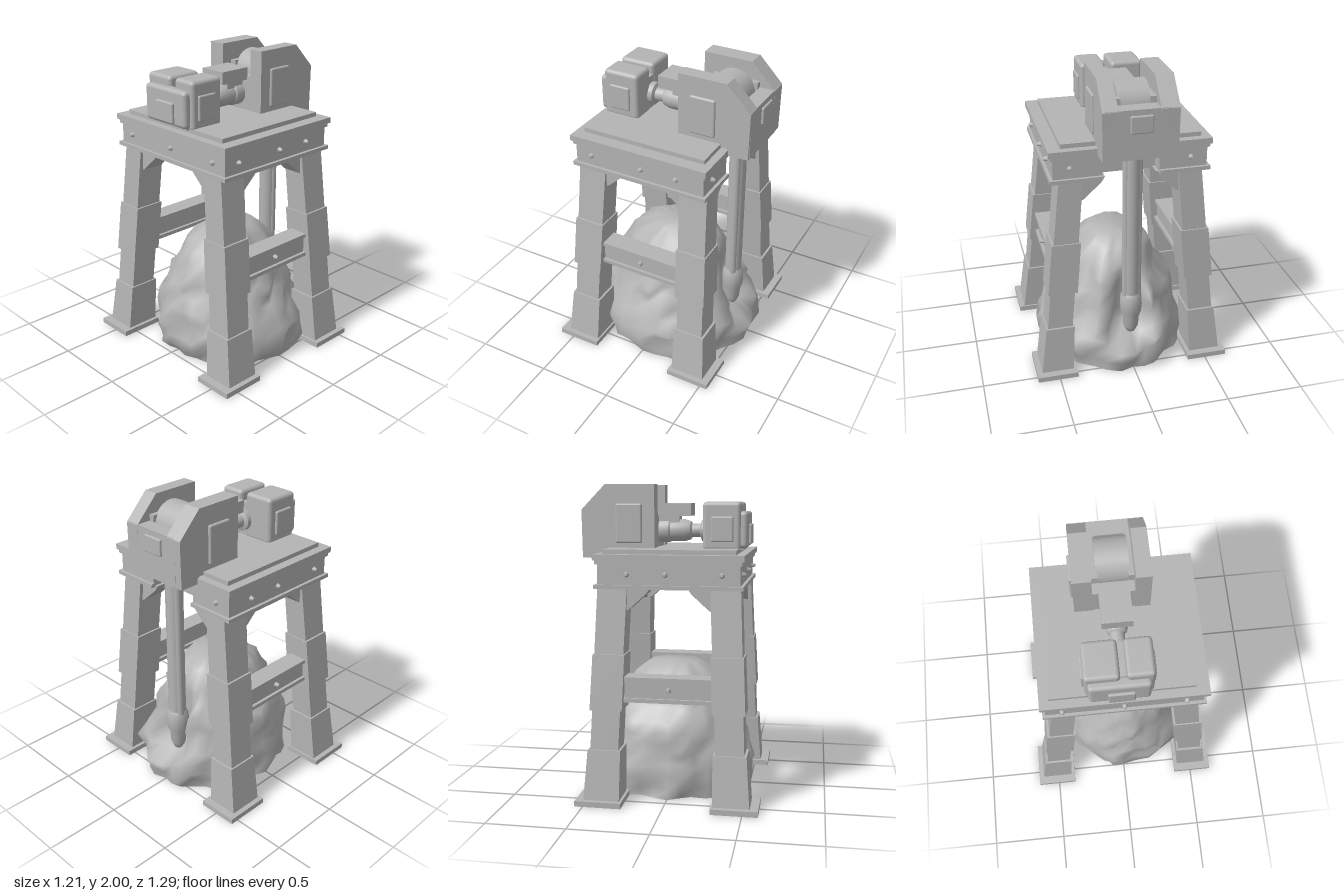
import * as THREE from 'three';
import { mergeVertices, toCreasedNormals } from 'three/addons/utils/BufferGeometryUtils.js';
import { RoundedBoxGeometry } from 'three/addons/geometries/RoundedBoxGeometry.js';

export function createModel() {
  const model = new THREE.Group();
  // Double-sided because the feet and the rock are open underneath
  const grey = new THREE.MeshStandardMaterial({ color: 0xb4b4b4, side: THREE.DoubleSide });
  grey.name = 'plain grey';

  const add = (name, geometry, x = 0, y = 0, z = 0) => {
    const mesh = new THREE.Mesh(geometry, grey);
    mesh.name = name;
    mesh.position.set(x, y, z);
    model.add(mesh);
    return mesh;
  };
  // Box given by its limits on each axis
  const box = (name, x0, x1, y0, y1, z0, z1, round = 0) => {
    const size = [x1 - x0, y1 - y0, z1 - z0];
    const g = round ? new RoundedBoxGeometry(...size, 2, round) : new THREE.BoxGeometry(...size);
    return add(name, g, (x0 + x1) / 2, (y0 + y1) / 2, (z0 + z1) / 2);
  };
  const polygon = (pts) => new THREE.Shape(pts.map((p) => new THREE.Vector2(...p)));
  const rect = (w, d) => [[-w, -d], [w, -d], [w, d], [-w, d]];
  const extrude = (shape, depth) => new THREE.ExtrudeGeometry(shape, { depth, bevelEnabled: false });

  // Legs: stacked blocks along a leaning centre line
  const legX = (side, y) => (side < 0 ? -0.43 + 0.045 * y : 0.39 - 0.037 * y);
  const legZ = (end, y) => end * (0.51 - 0.097 * y);
  const sections = [
    // y0, y1, bottom width, bottom depth, top width, top depth
    ['legFoot', 0.02, 0.35, 0.23, 0.21, 0.21, 0.185],
    ['lowerLeg', 0.15, 0.6, 0.18, 0.165, 0.18, 0.16],
    ['legSleeve', 0.6, 0.95, 0.207, 0.19, 0.203, 0.185],
    ['upperLeg', 0.95, 1.37, 0.186, 0.158, 0.188, 0.15],
  ];
  for (const side of [-1, 1]) {
    for (const end of [-1, 1]) {
      for (const [name, y0, y1, w0, d0, w1, d1] of sections) {
        const g = new THREE.BoxGeometry(1, 1, 1);
        const p = g.attributes.position;
        for (let i = 0; i < p.count; i++) {
          const top = p.getY(i) > 0;
          const y = top ? y1 : y0;
          p.setXYZ(i, legX(side, y) + p.getX(i) * (top ? w1 : w0), y, legZ(end, y) + p.getZ(i) * (top ? d1 : d0));
        }
        g.computeVertexNormals();
        // The foot is hollow: drop its bottom face
        if (name === 'legFoot') g.setIndex([...g.index.array].filter((_, i) => i < 18 || i >= 24));
        add(name, g);
      }
      const plate = polygon(rect(0.148, 0.133));
      plate.holes.push(polygon(rect(0.095, 0.085)));
      const plateGeo = extrude(plate, 0.035).rotateX(-Math.PI / 2);
      add('footPlate', plateGeo, side < 0 ? -0.45 : 0.405, 0, end * 0.512);

      // Corner gussets under the deck, one along each beam
      const gusset = [[0, 0], [0.155, 0], [0.13, -0.04], [0.02, -0.14], [0, -0.15]];
      const along = extrude(polygon(side < 0 ? gusset : gusset.map(([a, b]) => [-a, b])), 0.12);
      add('gusset', along, side < 0 ? -0.285 : 0.255, 1.37, end * 0.38 - 0.06);
      const across = extrude(polygon(gusset), 0.14);
      across.rotateY(end > 0 ? Math.PI / 2 : -Math.PI / 2);
      add('gusset', across, legX(side, 1.3) - end * 0.07, 1.37, end * 0.315);
    }
  }

  // Cross braces with flanges and a centre bolt, front and back
  for (const end of [-1, 1]) {
    const z = legZ(end, 0.73);
    box('braceWeb', -0.32, 0.28, 0.66, 0.8, z - 0.045, z + 0.045);
    for (const y of [0.65, 0.785]) box('braceFlange', -0.32, 0.28, y, y + 0.025, z - 0.065, z + 0.065);
    const bolt = add('braceBolt', new THREE.CylinderGeometry(0.012, 0.024, 0.06, 6), -0.02, 0.73, z + end * 0.045);
    bolt.rotation.x = end * Math.PI / 2;
  }

  // Deck frame: stacked rings, notched where the drill passes
  const ring = (name, inset, y0, y1) => {
    const l = -0.485 + inset, r = 0.45 - inset, e = 0.51 - inset;
    const shape = polygon([[l, -e], [r, -e], [r, -0.18], [0.33, -0.18], [0.33, 0.18], [r, 0.18], [r, e], [l, e]]);
    shape.holes.push(polygon([[-0.37, -0.37], [-0.37, 0.37], [0.23, 0.37], [0.23, -0.37]]));
    add(name, extrude(shape, y1 - y0).rotateX(-Math.PI / 2), 0, y0, 0);
  };
  ring('frameLowerFlange', 0.005, 1.36, 1.385);
  ring('frameWeb', 0.025, 1.385, 1.51);
  ring('frameStep', 0.012, 1.51, 1.535);
  ring('frameUpperFlange', 0, 1.535, 1.572);
  box('deckPlate', -0.43, 0.4, 1.55, 1.6, -0.45, 0.43);

  // Frame bolts
  const bolt = (x, z, turn, sign) => {
    const m = add('frameBolt', new THREE.CylinderGeometry(0.01, 0.024, 0.04, 6), x, 1.45, z);
    m.rotation[turn] = sign * Math.PI / 2;
  };
  for (const end of [-1, 1]) {
    for (const x of [-0.35, 0, 0.24]) bolt(x, end * 0.49, 'x', end);
    bolt(-0.465, end * 0.38, 'z', 1);
    bolt(0.43, end * 0.38, 'z', -1);
  }
  bolt(-0.465, 0, 'z', 1);

  // Winch housing: two tall cheeks joined by low walls
  const cheek = polygon([[0.11, 1.58], [0.44, 1.58], [0.44, 1.535], [0.58, 1.535], [0.585, 1.84], [0.43, 2], [0.11, 2]]);
  add('housingCheek', extrude(cheek, 0.095), 0, 0, 0.12);
  add('housingCheek', extrude(cheek, 0.115), 0, 0, -0.25);
  box('housingNose', 0.485, 0.583, 1.535, 1.845, -0.2, 0.2);
  box('housingFloor', 0.12, 0.5, 1.54, 1.65, -0.2, 0.2);
  box('housingBackWall', 0.115, 0.185, 1.58, 1.82, -0.2, 0.2);
  box('drumBearing', 0.185, 0.486, 1.62, 1.885, 0.085, 0.13);
  box('drumBearing', 0.185, 0.486, 1.62, 1.885, -0.145, -0.095);
  box('sidePanel', 0.19, 0.36, 1.63, 1.88, 0.2, 0.228, 0.012);
  box('sidePanel', 0.19, 0.36, 1.63, 1.88, -0.266, -0.23, 0.012);
  box('noseCap', 0.575, 0.597, 1.7, 1.81, -0.09, 0.05, 0.008);
  const drum = add('cableDrum', new THREE.CylinderGeometry(0.14, 0.14, 0.2, 24), 0.335, 1.81, -0.005);
  drum.rotation.x = Math.PI / 2;

  // Motor: two rounded casings around a lower core
  box('motorCasing', -0.435, -0.195, 1.585, 1.89, 0.012, 0.178, 0.025);
  box('motorCasing', -0.435, -0.195, 1.585, 1.89, -0.235, -0.025, 0.025);
  box('motorCore', -0.45, -0.2, 1.59, 1.82, -0.19, 0.14);
  box('motorEndCover', -0.478, -0.4, 1.6, 1.83, -0.215, 0.155, 0.025);
  box('motorEndCap', -0.495, -0.46, 1.62, 1.75, -0.1, 0.06, 0.01);
  box('motorSidePanel', -0.39, -0.25, 1.64, 1.8, 0.16, 0.19, 0.01);
  box('motorSidePanel', -0.39, -0.25, 1.64, 1.8, -0.25, -0.22, 0.01);

  // Drive shaft between motor and winch
  const shaft = [[0, -0.21], [0.07, -0.21], [0.07, -0.165], [0.045, -0.155], [0.045, -0.1], [0.06, -0.09],
    [0.072, -0.05], [0.072, 0.04], [0.08, 0.05], [0.08, 0.12], [0, 0.12]];
  const shaftGeo = toCreasedNormals(new THREE.LatheGeometry(shaft.map((p) => new THREE.Vector2(...p)), 20), 0.6);
  add('driveShaft', shaftGeo, 0, 1.705, -0.01).rotation.z = -Math.PI / 2;
  box('shaftGuard', -0.1, 0.12, 1.8, 1.88, -0.1, 0.085);
  box('shaftGuardSupport', -0.02, 0.12, 1.74, 1.81, -0.06, 0.045);

  // Drill: core pipe with side rods, collar and tapered bit
  const dx = 0.42, dz = -0.008;
  add('drillPipe', new THREE.CylinderGeometry(0.055, 0.055, 1.08, 16), dx, 1.02, dz);
  for (const s of [-1, 1]) {
    add('drillRod', new THREE.CylinderGeometry(0.026, 0.026, 1.08, 10), dx + 0.012, 1.02, dz + s * 0.038);
  }
  add('drillCollar', new THREE.CylinderGeometry(0.095, 0.075, 0.05, 16), dx, 1.52, dz);
  const bit = [[0, 0.22], [0.03, 0.225], [0.05, 0.27], [0.055, 0.34], [0.068, 0.38], [0.074, 0.44], [0.07, 0.5], [0.05, 0.53]];
  add('drillBit', new THREE.LatheGeometry(bit.map((p) => new THREE.Vector2(...p)), 14), dx, 0, dz);

  // Rock: open shell of rings sized per height, roughened, with a hollow for the drill
  const rings = [
    // y, -x, +x, -z, +z
    [0, 0.47, 0.58, 0.42, 0.53],
    [0.1, 0.51, 0.59, 0.43, 0.56],
    [0.2, 0.51, 0.57, 0.42, 0.53],
    [0.33, 0.48, 0.5, 0.4, 0.46],
    [0.49, 0.42, 0.46, 0.36, 0.39],
    [0.56, 0.38, 0.42, 0.26, 0.37],
    [0.65, 0.35, 0.37, 0.25, 0.34],
    [0.75, 0.28, 0.3, 0.22, 0.26],
    [0.835, 0.14, 0.19, 0.09, 0.19],
  ];
  const hash = (a, b) => {
    const v = Math.sin(a * 12.9898 + b * 78.233) * 43758.5453;
    return (v - Math.floor(v)) * 2 - 1;
  };
  const cols = 36, rows = 13;
  const rock = new THREE.CylinderGeometry(1, 1, 1, cols, rows, true);
  rock.deleteAttribute('uv');
  rock.deleteAttribute('normal');
  const rp = rock.attributes.position;
  for (let i = 0; i < rp.count; i++) {
    const col = i % (cols + 1) % cols, row = Math.floor(i / (cols + 1));
    // The first row closes the top, the others step down to the ground
    if (row === 0) {
      rp.setXYZ(i, 0.02, 0.835, 0.05);
      continue;
    }
    const inner = row > 1 && row < rows;
    const y = 0.835 * (rows - row) / (rows - 1) + (inner ? 0.018 * hash(col + 7, row) : 0);
    const k = Math.max(1, rings.findIndex((r) => r[0] >= y - 1e-6));
    const a = rings[k - 1], b = rings[k], t = (y - a[0]) / (b[0] - a[0]);
    const reach = (j) => a[j] + (b[j] - a[j]) * t;
    const c = rp.getX(i), s = rp.getZ(i), angle = Math.atan2(s, c);
    const lobes = -0.03 * Math.cos(10 * angle + 2 * Math.sin(7 * y)) - 0.03 * Math.abs(c * s);
    const rough = 1 + lobes + 0.055 * hash(col, row);
    let x = c * reach(c < 0 ? 1 : 2) * rough;
    const z = s * reach(s < 0 ? 3 : 4) * rough;
    if (x > 0 && y > 0.17) {
      const hollow = Math.max(0, 1 - Math.max(0, Math.abs(z - 0.01) - 0.07) / 0.07) * Math.min(1, (y - 0.17) / 0.1);
      x -= hollow * Math.max(0, x - 0.33);
    }
    rp.setXYZ(i, x, y, z);
  }
  const rockGeo = mergeVertices(rock);
  rockGeo.computeVertexNormals();
  add('rock', rockGeo);

  return model;
}
